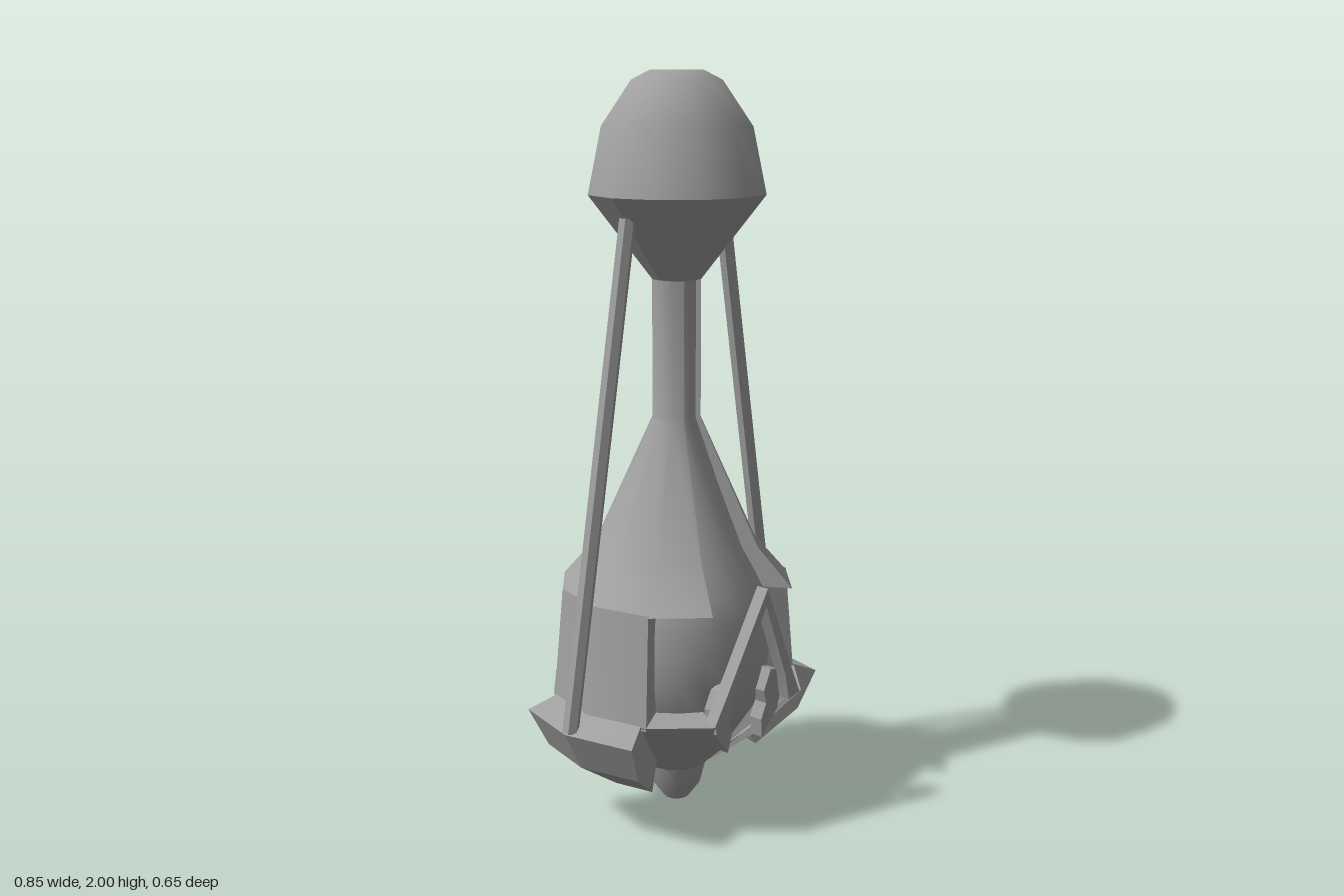
import * as THREE from 'three';
import { toCreasedNormals } from 'three/addons/utils/BufferGeometryUtils.js';

const hull = new THREE.MeshStandardMaterial({ color: 0xa0a0a0, side: THREE.DoubleSide });
hull.name = 'hull grey';

const rad = THREE.MathUtils.degToRad;
const v2 = (pts) => pts.map(([x, y]) => new THREE.Vector2(x, y));

function add(parent, name, geometry, crease = 0.6) {
  const mesh = new THREE.Mesh(toCreasedNormals(geometry, crease), hull);
  mesh.name = name;
  parent.add(mesh);
  return mesh;
}

// Solid arc: a counter-clockwise (radius, height) section swept about y, centred on +x.
function arcSolid(section, halfAngle, steps) {
  const n = section.length, pos = [], idx = [];
  for (let i = 0; i <= steps; i++) {
    const a = rad(-halfAngle + (2 * halfAngle * i) / steps);
    for (const [r, y] of section) pos.push(r * Math.cos(a), y, r * Math.sin(a));
  }
  for (let i = 0; i < steps; i++) {
    for (let j = 0; j < n; j++) {
      const b = i * n + j, t = i * n + ((j + 1) % n);
      idx.push(b, t, t + n, b, t + n, b + n);
    }
  }
  for (const [a, b, c] of THREE.ShapeUtils.triangulateShape(v2(section), [])) {
    const e = steps * n;
    idx.push(a, c, b, e + a, e + b, e + c);
  }
  const g = new THREE.BufferGeometry();
  g.setAttribute('position', new THREE.Float32BufferAttribute(pos, 3));
  g.setIndex(idx);
  return g;
}

// Flat plate in x-y, leaning outward toward its top.
function leaningPlate(points, depth, z, lean) {
  const g = new THREE.ExtrudeGeometry(new THREE.Shape(v2(points)), { depth, bevelEnabled: false });
  const p = g.attributes.position;
  for (let i = 0; i < p.count; i++) p.setZ(i, p.getZ(i) + z + (p.getY(i) - 0.35) * lean);
  return g;
}

// Lower cone filling the gap between the side shells, with a jagged upper rim.
function jaggedCone() {
  const rim = [0.95, 0.72, 0.8, 0.42, 0.55, 0.36, 0.55, 0.42, 0.8, 0.72, 0.95];
  const pos = [], idx = [];
  rim.forEach((t, i) => {
    const a = rad(-30 + 6 * i);
    for (const k of [0, t]) {
      const r = 0.09 + 0.24 * k;
      pos.push(r * Math.sin(a), 0.12 + 0.23 * k, r * Math.cos(a));
    }
    if (i) idx.push(2 * i - 2, 2 * i, 2 * i + 1, 2 * i - 2, 2 * i + 1, 2 * i - 1);
  });
  const g = new THREE.BufferGeometry();
  g.setAttribute('position', new THREE.Float32BufferAttribute(pos, 3));
  g.setIndex(idx);
  return g;
}

export function createModel() {
  const model = new THREE.Group();
  model.name = 'spacecraft';

  // Central body, from the nozzle up through the neck
  add(model, 'core', new THREE.LatheGeometry(v2([
    [0.085, 0.13], [0.17, 0.22], [0.235, 0.32], [0.255, 0.42], [0.257, 0.5], [0.25, 0.58],
    [0.23, 0.66], [0.18, 0.75], [0.115, 0.92], [0.052, 1.1], [0.052, 1.5],
  ]), 24));
  add(model, 'nozzle', new THREE.LatheGeometry(v2([
    [0, 0], [0.035, 0.004], [0.068, 0.05], [0.086, 0.12], [0, 0.12],
  ]), 16));

  // Head with faceted underside
  add(model, 'head', new THREE.LatheGeometry(v2([
    [0.236, 1.69], [0.2, 1.86], [0.12, 1.975], [0.07, 2], [0, 2],
  ]), 12), 0.7);
  add(model, 'headUnderside', new THREE.LatheGeometry(v2([
    [0, 1.47], [0.066, 1.47], [0.236, 1.69],
  ]), 12), 0.3);

  // Side armour and struts, the same on left and right
  for (const [side, turn] of [['left', 0], ['right', Math.PI]]) {
    const g = new THREE.Group();
    g.name = side + 'Side';
    g.rotation.y = turn;
    model.add(g);
    add(g, 'upperShell', arcSolid([
      [0.24, 0.64], [0.32, 0.64], [0.225, 0.75], [0.066, 1.1], [0.066, 1.48],
      [0.04, 1.48], [0.04, 1.1], [0.17, 0.75],
    ], 60, 4));
    add(g, 'sidePanel', arcSolid([
      [0.24, 0.34], [0.347, 0.34], [0.32, 0.645], [0.24, 0.645],
    ], 30, 2));
    add(g, 'lowerShell', arcSolid([
      [0.08, 0.12], [0.1, 0.12], [0.21, 0.2], [0.35, 0.35], [0.23, 0.35],
    ], 60, 4));
    add(g, 'skirt', arcSolid([
      [0.185, 0.22], [0.24, 0.12], [0.37, 0.21], [0.425, 0.32], [0.345, 0.352],
    ], 27.5, 2), 0.3);

    // Slanting strut from the head to the skirt
    const a = new THREE.Vector3(0.405, 0.32, 0), b = new THREE.Vector3(0.18, 1.635, 0);
    const strut = add(g, 'strut', new THREE.CylinderGeometry(0.022, 0.022, a.distanceTo(b), 6), 0.3);
    strut.position.copy(a).lerp(b, 0.5);
    strut.quaternion.setFromUnitVectors(new THREE.Vector3(0, 1, 0), b.clone().sub(a).normalize());
  }

  // Open pointed frame, claws and jagged cone, the same on front and back
  for (const [face, turn] of [['front', 0], ['back', Math.PI]]) {
    const g = new THREE.Group();
    g.name = face + 'Opening';
    g.rotation.y = turn;
    model.add(g);
    add(g, 'pointedFrame', leaningPlate([
      [0, 0.69], [-0.135, 0.42], [-0.175, 0.345], [-0.13, 0.335], [-0.108, 0.41], [0, 0.64],
      [0.108, 0.41], [0.13, 0.335], [0.175, 0.345], [0.135, 0.42],
    ], 0.036, 0.262, 0.08), 0.3);
    for (const s of [1, -1]) {
      add(g, 'claw', leaningPlate([
        [0.135, 0.37], [0.115, 0.42], [0.08, 0.43], [0.06, 0.37], [0.075, 0.33],
        [0.06, 0.285], [0.07, 0.23], [0.125, 0.3],
      ].map(([x, y]) => [s * x, y]), 0.04, 0.225, 0.1), 0.3);
    }
    add(g, 'jaggedCone', jaggedCone());
  }
  return model;
}
